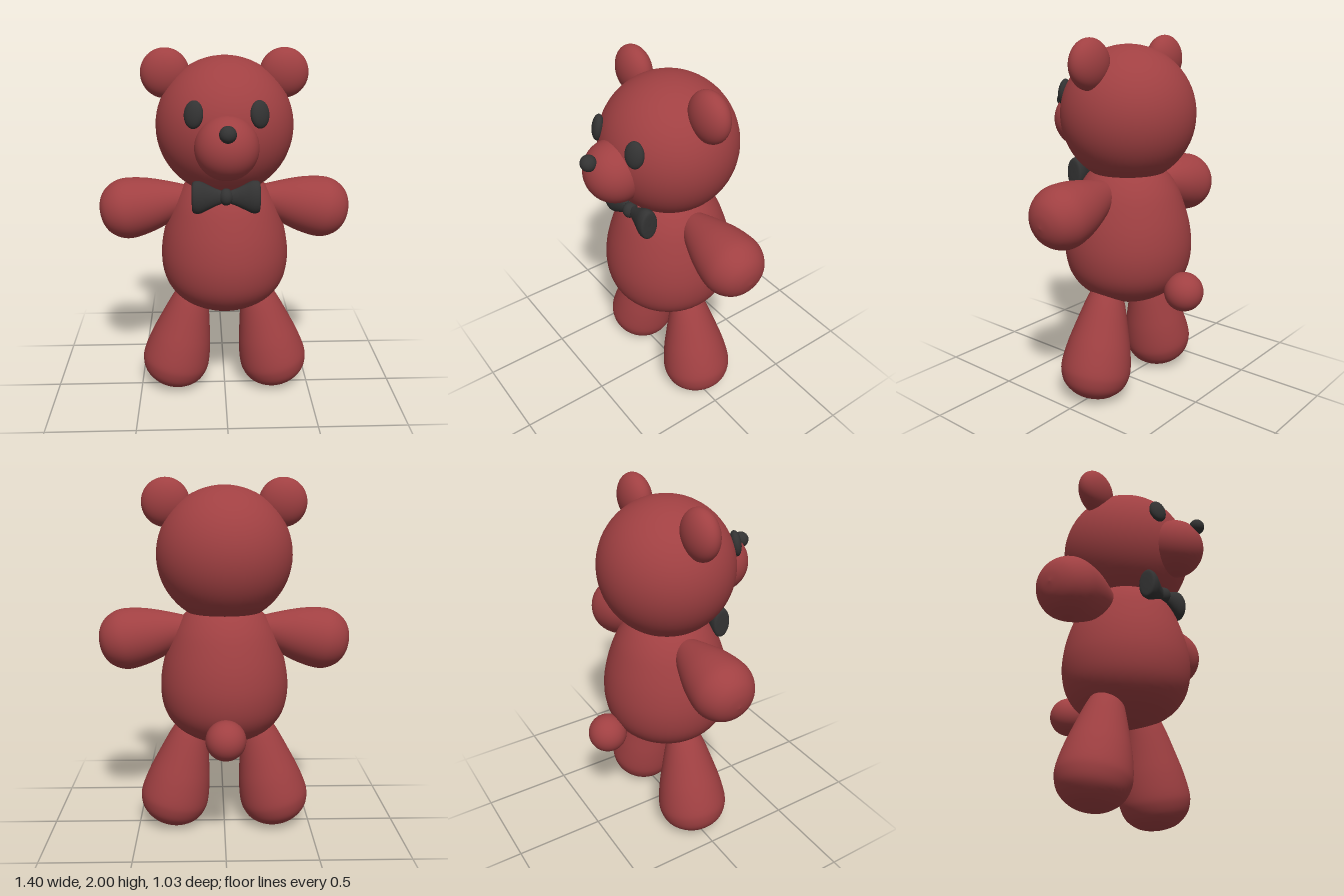
import * as THREE from 'three';

const fur = new THREE.MeshStandardMaterial({ color: 0xa04042 });
const dark = new THREE.MeshStandardMaterial({ color: 0x333333 });

// Smooth turned shape from [radius, height] points listed bottom to top
function turned(points) {
  const curve = new THREE.SplineCurve(points.map(([r, y]) => new THREE.Vector2(r, y)));
  const profile = curve.getPoints(48);
  profile.forEach((p) => { p.x = Math.max(0, p.x); });
  return new THREE.LatheGeometry(profile, 48);
}

export function createModel() {
  const model = new THREE.Group();
  model.name = 'teddyBear';

  function add(name, geometry, material, position) {
    const mesh = new THREE.Mesh(geometry, material);
    mesh.name = name;
    mesh.position.set(...position);
    model.add(mesh);
    return mesh;
  }

  function ball(name, material, position, radii) {
    const mesh = add(name, new THREE.SphereGeometry(1, 48, 32), material, position);
    mesh.scale.set(...radii);
    return mesh;
  }

  // Head, muzzle and nose
  ball('head', fur, [0, 1.585, -0.01], [0.375, 0.375, 0.37]);
  ball('muzzle', fur, [0, 1.532, 0.325], [0.165, 0.166, 0.165]);
  ball('nose', dark, [0, 1.63, 0.473], [0.043, 0.043, 0.043]);

  // Pear-shaped body and round tail
  add('body', turned([
    [0, 0.52], [0.1, 0.53], [0.2, 0.568], [0.285, 0.63], [0.34, 0.72], [0.36, 0.84],
    [0.347, 0.97], [0.31, 1.1], [0.265, 1.2], [0.2, 1.28], [0.1, 1.34], [0, 1.36],
  ]), fur, [0, 0, -0.01]);
  ball('tail', fur, [0, 0.645, -0.402], [0.108, 0.108, 0.108]);

  // Limb and bow profiles, each widening away from its root
  const armShape = turned([
    [0, -0.42], [0.045, -0.39], [0.08, -0.32], [0.127, -0.2], [0.157, -0.1], [0.171, 0],
    [0.158, 0.065], [0.12, 0.12], [0.065, 0.151], [0, 0.162],
  ]);
  const legShape = turned([
    [0, -0.52], [0.055, -0.49], [0.08, -0.44], [0.113, -0.35], [0.155, -0.2], [0.18, -0.1],
    [0.196, 0], [0.193, 0.06], [0.168, 0.12], [0.115, 0.167], [0.06, 0.187], [0, 0.194],
  ]);
  const bowShape = turned([
    [0, 0], [0.03, 0.015], [0.05, 0.06], [0.07, 0.1], [0.087, 0.135],
    [0.089, 0.16], [0.078, 0.178], [0.04, 0.182], [0, 0.182],
  ]);

  // Mirrored parts
  for (const [side, s] of [['left', 1], ['right', -1]]) {
    ball(`${side}Ear`, fur, [s * 0.318, 1.867, -0.015], [0.132, 0.133, 0.083]);

    const eye = ball(`${side}Eye`, dark, [s * 0.166, 1.7, 0.312], [0.052, 0.071, 0.031]);
    eye.rotation.set(-0.17, s * 0.46, 0, 'YXZ');

    const arm = add(`${side}Arm`, armShape, fur, [s * 0.54, 1.118, -0.015]);
    arm.rotation.z = -s * (Math.PI / 2 + 0.18);

    const leg = add(`${side}Leg`, legShape, fur, [s * 0.285, 0.2, -0.01]);
    leg.rotation.z = -s * (Math.PI - 0.235);

    const wing = add(`${side}BowWing`, bowShape, dark, [0, 1.25, 0.24]);
    wing.rotation.z = -s * Math.PI / 2;
    wing.scale.z = 0.6;
  }

  // Bow knot
  ball('bowKnot', dark, [0, 1.252, 0.242], [0.037, 0.046, 0.042]);

  return model;
}
